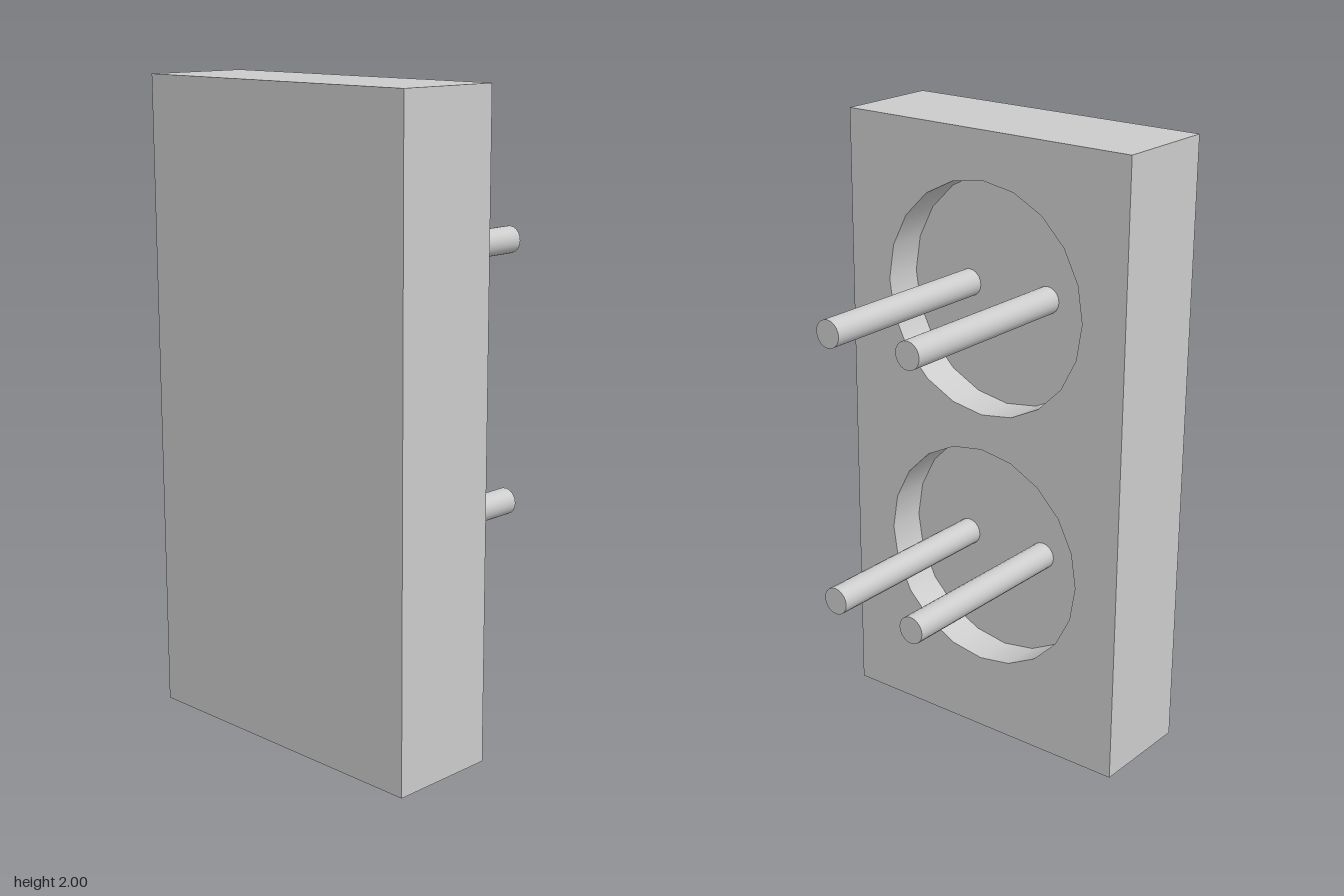
import * as THREE from 'three';

const grey = new THREE.MeshStandardMaterial({ color: 0xcccccc });
const greyInside = new THREE.MeshStandardMaterial({ color: 0xcccccc, side: THREE.BackSide });

const HEIGHT = 2, WIDTH = 1.044;
const BACK = -0.437, FACE = -0.088, FLOOR = -0.217, TIP = 0.437;
const SIDES = 20, RECESS_R = 0.37, PIN_R = 0.0435;
const SOCKET_Y = [0.622, 1.479], PIN_Z = [0.15, -0.15];

function add(parent, name, geometry, x, y, z, material = grey) {
  const mesh = new THREE.Mesh(geometry, material);
  mesh.name = name;
  mesh.position.set(x, y, z);
  parent.add(mesh);
  return mesh;
}

// Cylinder lying along x from x0 to x1
function rod(r, x0, x1, open) {
  return new THREE.CylinderGeometry(r, r, x1 - x0, SIDES, 1, open).rotateZ(-Math.PI / 2);
}

export function createModel() {
  const model = new THREE.Group();
  model.name = 'doubleSocket';

  // Housing: box without its +x side, which the pierced face plate closes
  const box = new THREE.BoxGeometry(FACE - BACK, HEIGHT, WIDTH);
  box.setIndex(Array.from(box.index.array).slice(6));
  box.clearGroups();
  add(model, 'housing', box, (BACK + FACE) / 2, HEIGHT / 2, 0);

  // Face plate with two round openings
  const w = WIDTH / 2;
  const outline = new THREE.Shape([
    new THREE.Vector2(-w, 0), new THREE.Vector2(w, 0),
    new THREE.Vector2(w, HEIGHT), new THREE.Vector2(-w, HEIGHT),
  ]);
  for (const y of SOCKET_Y) {
    outline.holes.push(new THREE.Path().absarc(0, y, RECESS_R, 0, Math.PI * 2, true));
  }
  const plate = new THREE.ShapeGeometry(outline, SIDES / 2).rotateY(Math.PI / 2);
  add(model, 'facePlate', plate, FACE, 0, 0);

  // Sockets: recess wall, recess floor and two pins
  for (const y of SOCKET_Y) {
    const socket = new THREE.Group();
    socket.name = 'socket';
    socket.position.y = y;
    model.add(socket);
    add(socket, 'recessWall', rod(RECESS_R, FLOOR, FACE, true), (FLOOR + FACE) / 2, 0, 0, greyInside);
    add(socket, 'recessFloor', new THREE.CircleGeometry(RECESS_R, SIDES).rotateY(Math.PI / 2), FLOOR, 0, 0);
    for (const z of PIN_Z) {
      add(socket, 'pin', rod(PIN_R, FLOOR, TIP, false), (FLOOR + TIP) / 2, 0, z);
    }
  }
  return model;
}
